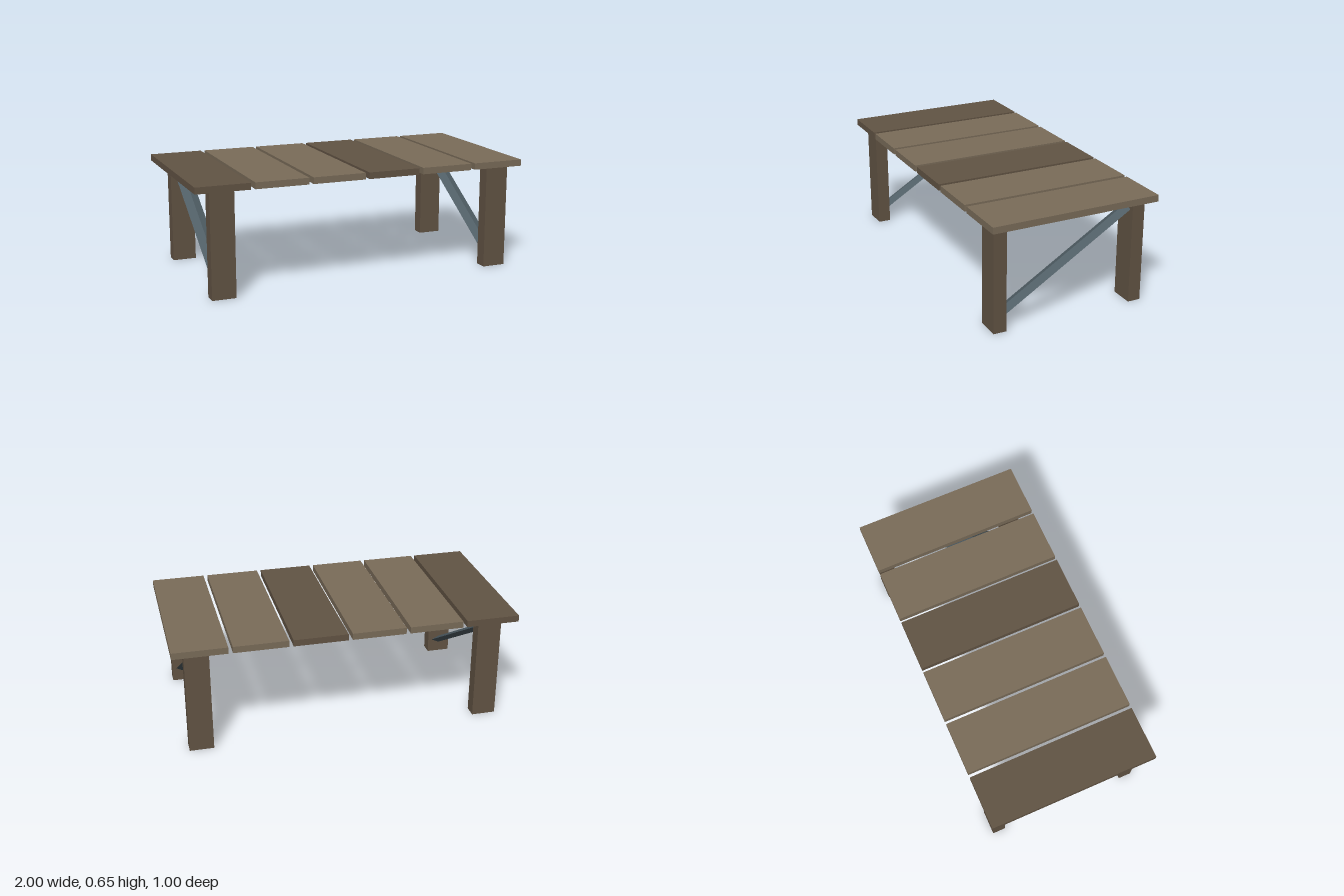
import * as THREE from 'three';

export function createModel() {
  const model = new THREE.Group();
  const mat = (color) => new THREE.MeshStandardMaterial({ color, flatShading: true });
  const lightWood = mat(0x7a6c59), darkWood = mat(0x625444), steel = mat(0x4f5d64);

  const box = (name, x0, x1, y0, y1, z0, z1, material) => {
    const mesh = new THREE.Mesh(new THREE.BoxGeometry(x1 - x0, y1 - y0, z1 - z0), material);
    mesh.position.set((x0 + x1) / 2, (y0 + y1) / 2, (z0 + z1) / 2);
    mesh.name = name;
    model.add(mesh);
  };

  // Table top: six planks with narrow gaps
  const width = 0.313, pitch = (2 - width) / 5;
  for (let i = 0; i < 6; i++) {
    const x = -1 + i * pitch;
    box(`plank${i + 1}`, x, x + width, 0.614, 0.652, -0.5, 0.5, i % 3 === 0 ? darkWood : lightWood);
  }

  // A pair of legs at each end, joined by a diagonal brace
  for (const [side, cx] of [['right', -0.84], ['left', 0.86]]) {
    box(`${side}FrontLeg`, cx - 0.07, cx + 0.07, 0, 0.614, 0.385, 0.461, darkWood);
    box(`${side}BackLeg`, cx - 0.07, cx + 0.07, 0, 0.614, -0.461, -0.385, darkWood);

    // Flattened four-sided bar, rising from the front leg to the back leg
    const low = new THREE.Vector3(cx, 0.075, 0.4), high = new THREE.Vector3(cx, 0.562, -0.4);
    const bar = new THREE.CylinderGeometry(1, 1, low.distanceTo(high), 4);
    bar.scale(0.046, 1, 0.0195);
    const brace = new THREE.Mesh(bar, steel);
    brace.position.copy(low).lerp(high, 0.5);
    brace.rotation.x = Math.atan2(high.z - low.z, high.y - low.y);
    brace.name = `${side}Brace`;
    model.add(brace);
  }
  return model;
}
